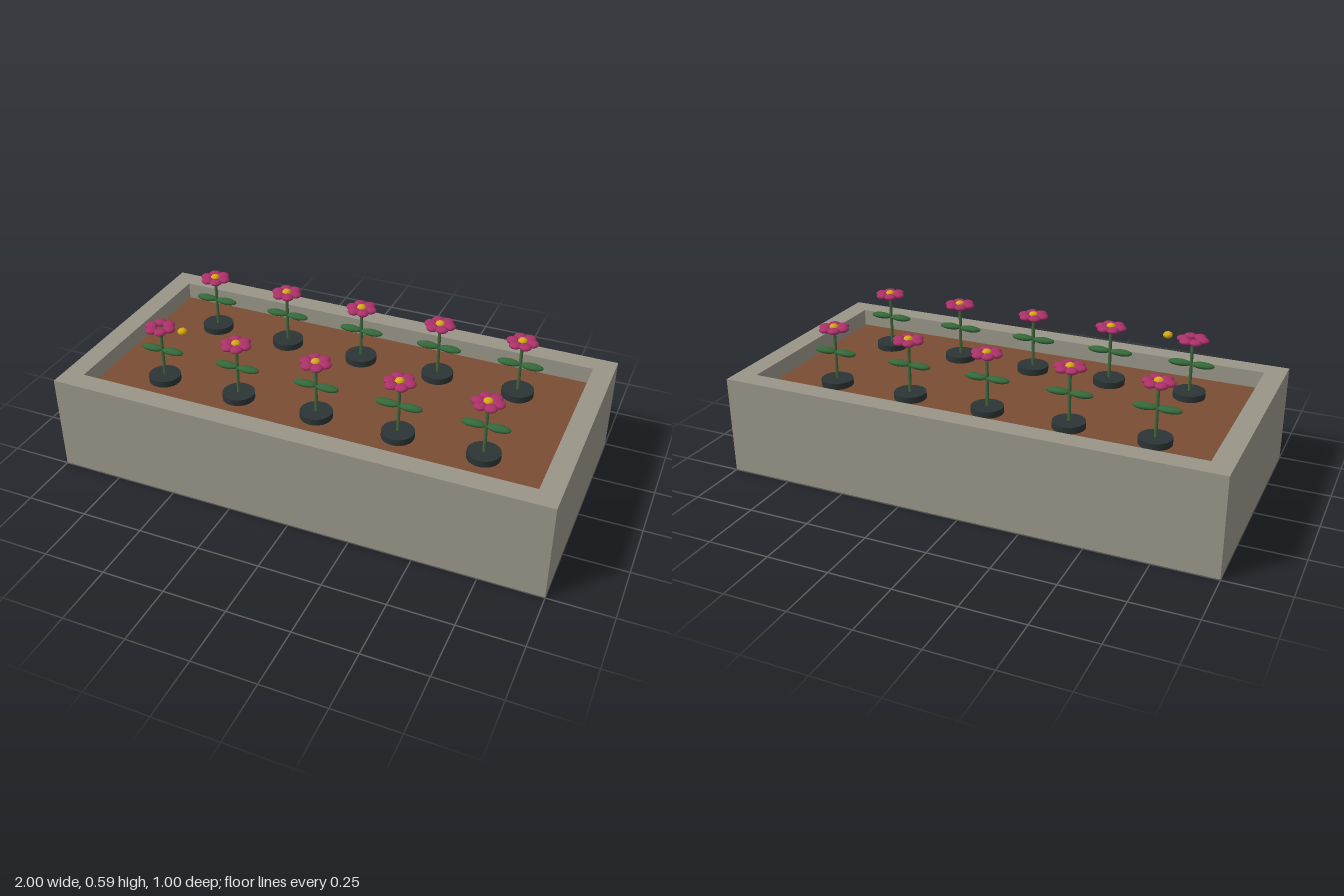
import * as THREE from 'three';

const mat = (name, color) => {
  const m = new THREE.MeshStandardMaterial({ color });
  m.name = name;
  return m;
};

export function createModel() {
  const model = new THREE.Group();
  model.name = 'planter';
  const stone = mat('stone', 0x999688);
  const soil = mat('soil', 0x7a4e33);
  const mound = mat('darkBase', 0x2c3435);
  const stemGreen = mat('stemGreen', 0x43683c);
  const leafGreen = mat('leafGreen', 0x34683a);
  const pink = mat('petalPink', 0xab3169);
  const yellow = mat('centreYellow', 0xd6a715);

  const add = (parent, name, geometry, material, x, y, z) => {
    const mesh = new THREE.Mesh(geometry, material);
    mesh.name = name;
    mesh.position.set(x, y, z);
    parent.add(mesh);
    return mesh;
  };

  // Walls: full-depth ends with long sides fitted between them
  const T = 0.083, H = 0.4, soilTop = 0.33;
  const endGeo = new THREE.BoxGeometry(T, H - 0.002, 1);
  const sideGeo = new THREE.BoxGeometry(2 - 2 * T, H - 0.002, T);
  for (const s of [-1, 1]) {
    add(model, 'endWall', endGeo, stone, s * (1 - T / 2), H / 2 + 0.001, 0);
    add(model, 'sideWall', sideGeo, stone, 0, H / 2 + 0.001, s * (0.5 - T / 2));
  }

  // Soil block, set into the walls and open to the underside
  add(model, 'soil', new THREE.BoxGeometry(1.91, soilTop, 0.91), soil, 0, soilTop / 2, 0);

  // Shared flower geometry
  const flowerY = 0.57;
  const baseGeo = new THREE.CylinderGeometry(0.064, 0.064, 0.026, 24);
  const stemGeo = new THREE.CylinderGeometry(0.0065, 0.0065, flowerY - soilTop, 10);
  const leafGeo = new THREE.SphereGeometry(1, 16, 10).scale(0.047, 0.013, 0.02);
  const petalGeo = new THREE.SphereGeometry(1, 14, 10).scale(0.025, 0.012, 0.025);
  const centreGeo = new THREE.SphereGeometry(1, 14, 10).scale(0.019, 0.014, 0.019);

  for (let i = -2; i <= 2; i++) {
    for (const side of [-1, 1]) {
      const flower = new THREE.Group();
      flower.name = 'flower';
      flower.position.set(i / 3, 0, side * 0.225);
      model.add(flower);

      add(flower, 'base', baseGeo, mound, 0, soilTop + 0.013, 0);
      add(flower, 'stem', stemGeo, stemGreen, 0, (soilTop + flowerY) / 2, 0);
      for (const s of [-1, 1]) add(flower, 'leaf', leafGeo, leafGreen, s * 0.046, 0.469, 0);
      for (let k = 0; k < 6; k++) {
        const a = (k * Math.PI) / 3;
        add(flower, 'petal', petalGeo, pink, 0.039 * Math.cos(a), flowerY, 0.039 * Math.sin(a));
      }
      // One bloom has its centre displaced to the side
      const shift = i === -2 && side === 1 ? 0.1 : 0;
      add(flower, 'flowerCentre', centreGeo, yellow, shift, 0.574, 0);
    }
  }
  return model;
}
